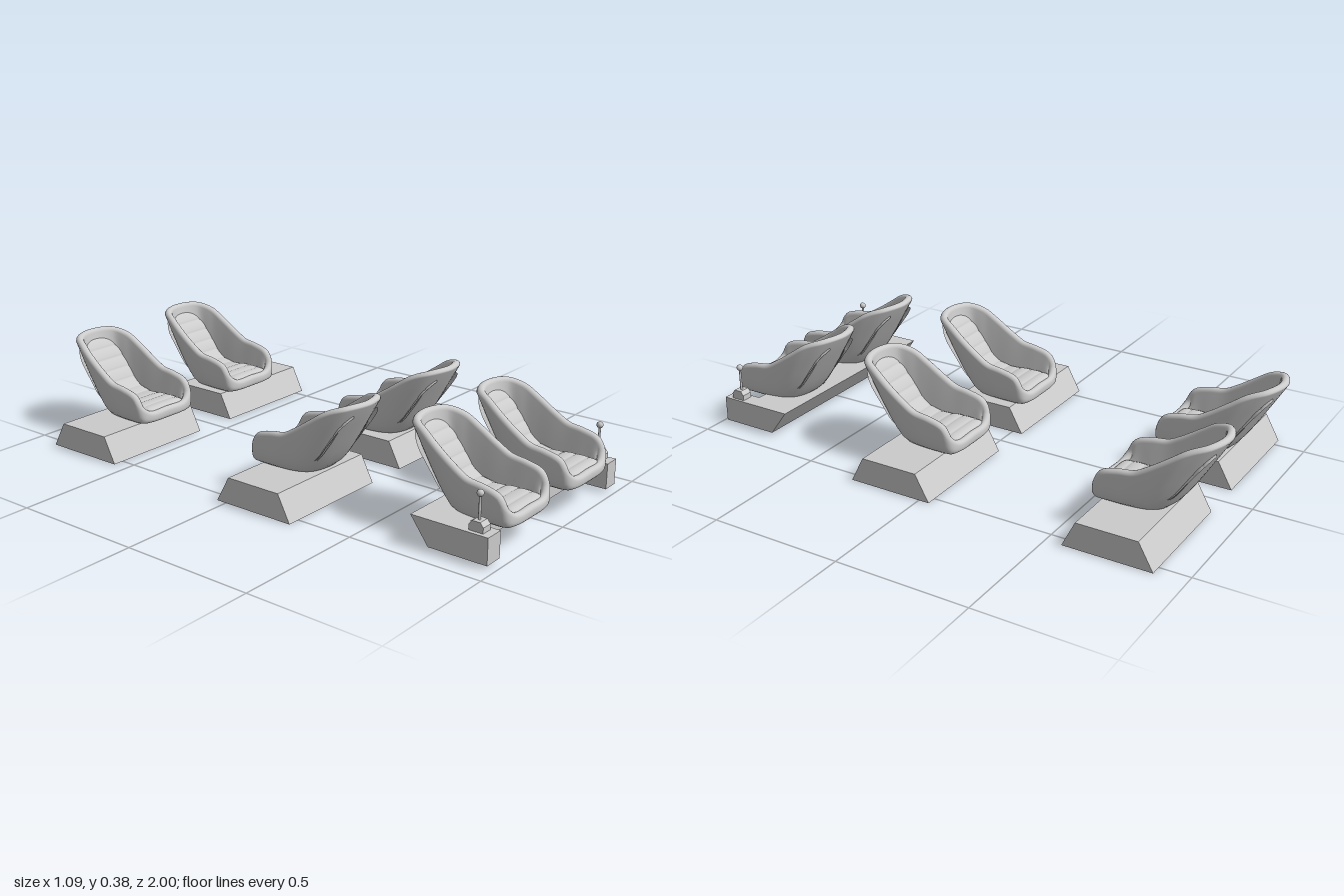
import * as THREE from 'three';

const grey = new THREE.MeshStandardMaterial({ color: 0xcccccc });
const greyDouble = new THREE.MeshStandardMaterial({ color: 0xcccccc, side: THREE.DoubleSide });
const V = (x, y, z) => new THREE.Vector3(x, y, z);

function part(name, geometry, material = grey) {
  const mesh = new THREE.Mesh(geometry, material);
  mesh.name = name;
  return mesh;
}

// Side profile given as [z, y] pairs, extruded across x from x0 to x1
function prism(name, profile, x0, x1) {
  const shape = new THREE.Shape(profile.map(([z, y]) => new THREE.Vector2(z, y)));
  const geo = new THREE.ExtrudeGeometry(shape, { depth: x1 - x0, bevelEnabled: false });
  geo.rotateY(-Math.PI / 2).translate(x1, 0, 0);
  return part(name, geo);
}

// Smooth surface through rows of points
function skin(rows, closed) {
  const n = rows[0].length, index = [];
  for (let j = 0; j < rows.length - 1; j++) {
    for (let i = 0; i < (closed ? n : n - 1); i++) {
      const k = (i + 1) % n;
      const a = j * n + i, b = j * n + k, c = (j + 1) * n + k, d = (j + 1) * n + i;
      index.push(a, b, c, a, c, d);
    }
  }
  const geo = new THREE.BufferGeometry().setFromPoints(rows.flat());
  geo.setIndex(index);
  geo.computeVertexNormals();
  return geo;
}

// Closed loop from a half outline running front centre -> left side -> back centre
function loop(half) {
  const left = half.map(p => V(...p));
  const right = half.slice(1, -1).reverse().map(([x, y, z]) => V(-x, y, z));
  return new THREE.CatmullRomCurve3([...left, ...right], true);
}

// Centre line of the rolled rim
const rimHalf = [
  [0, 0.03, 0.205], [0.09, 0.03, 0.2], [0.123, 0.055, 0.188], [0.13, 0.098, 0.165],
  [0.131, 0.116, 0.11], [0.131, 0.126, 0.05], [0.129, 0.153, 0], [0.124, 0.2, -0.07],
  [0.113, 0.237, -0.125], [0.083, 0.256, -0.178], [0, 0.26, -0.204],
];
// Lower edge of the inner wall, tucked under the cushion
const wellHalf = [
  [0, 0.026, 0.19], [0.07, 0.026, 0.188], [0.095, 0.028, 0.18], [0.103, 0.03, 0.15],
  [0.103, 0.033, 0.1], [0.102, 0.03, 0.05], [0.1, 0.03, 0], [0.098, 0.05, -0.06],
  [0.092, 0.12, -0.115], [0.072, 0.2, -0.162], [0, 0.225, -0.182],
];
// Foot of the shell, shorter and narrower than the rim
const footHalf = rimHalf.map(([x, , z]) => [x * 0.92, 0, 0.2 - (0.205 - z) * 0.6]);

function shellGeometry() {
  const rim = loop(rimHalf), well = loop(wellHalf), foot = loop(footHalf);
  const N = 100, r = 0.015, sections = [];
  for (let i = 0; i < N; i++) {
    const t = i / N, p = rim.getPoint(t), f = foot.getPoint(t), w = well.getPoint(t);
    const tan = rim.getTangent(t);
    const out = V(-tan.z, 0, tan.x).normalize();
    const up = out.clone().cross(tan).normalize();
    const roll = a => p.clone().addScaledVector(out, r * Math.cos(a)).addScaledVector(up, r * Math.sin(a));
    const s = [V(0, 0, 0.08), f.clone().lerp(V(0, 0, 0.08), 0.04), f];
    // bulging outer wall
    for (const q of [0.06, 0.16, 0.3, 0.5, 0.75]) {
      s.push(f.clone().lerp(roll(0), q).addScaledVector(out, 0.012 * Math.sin(Math.PI * Math.sqrt(q))));
    }
    // rolled rim, then the inner wall
    for (let k = 0; k <= 8; k++) s.push(roll((k / 8) * Math.PI));
    const inner = roll(Math.PI);
    for (const q of [0.35, 0.7, 1]) s.push(inner.clone().lerp(w, q));
    sections.push(s);
  }
  return skin(sections[0].map((_, j) => sections.map(s => s[j])), true);
}

// Pleated seat and back panel following one bent profile
function cushionGeometry() {
  const path = new THREE.CatmullRomCurve3([
    V(0, 0.034, 0.203), V(0, 0.046, 0.185), V(0, 0.05, 0.1), V(0, 0.045, 0.02),
    V(0, 0.065, -0.05), V(0, 0.125, -0.1), V(0, 0.19, -0.148), V(0, 0.238, -0.186),
  ]);
  const rows = [], M = 110, W = 20, pleats = 10;
  for (let j = 0; j <= M; j++) {
    const s = j / M, p = path.getPointAt(s), tan = path.getTangentAt(s);
    const normal = V(0, -tan.z, tan.y);
    const end = Math.max(0, (s - 0.82) / 0.18);
    const half = 0.105 * Math.sqrt(1 - 0.6 * end * end);
    const puff = 0.004 * Math.sqrt(Math.abs(Math.sin(s * pleats * Math.PI)));
    const row = [];
    for (let i = 0; i <= W; i++) {
      const u = (i / W) * 2 - 1, edge = Math.pow(Math.abs(u), 8);
      const q = p.clone().addScaledVector(normal, puff * (1 - edge) - 0.014 * edge);
      q.x = u * half;
      row.push(q);
    }
    rows.push(row);
  }
  return skin(rows, false);
}

export function createModel() {
  const model = new THREE.Group();
  model.name = 'seatingSet';
  const shell = shellGeometry(), cushion = cushionGeometry();

  function addSeat(name, x, z, turned) {
    const seat = new THREE.Group();
    seat.name = name;
    seat.add(part('seatShell', shell, greyDouble), part('seatCushion', cushion, greyDouble));
    seat.position.set(x, 0.1, z);
    if (turned) seat.rotation.y = Math.PI;
    model.add(seat);
  }
  addSeat('frontSeatRight', -0.196, 0.78);
  addSeat('frontSeatLeft', 0.186, 0.78);
  addSeat('middleSeatRight', -0.25, 0.178, true);
  addSeat('middleSeatLeft', 0.238, 0.178, true);
  addSeat('rearSeatRight', -0.243, -0.78);
  addSeat('rearSeatLeft', 0.24, -0.78);

  // Sloped plinths under the middle and rear seats
  const middle = [[-0.04, 0], [0.285, 0], [0.235, 0.097], [0.014, 0.097]];
  const rear = [[-0.887, 0], [-0.56, 0], [-0.608, 0.097], [-0.832, 0.097]];
  model.add(
    prism('middlePlinthRight', middle, -0.546, -0.087),
    prism('middlePlinthLeft', middle, 0.077, 0.537),
    prism('rearPlinthRight', rear, -0.541, -0.087),
    prism('rearPlinthLeft', rear, 0.087, 0.541),
  );

  // Front platform with a forward arm at each end
  model.add(prism('frontPlatform', [[0.754, 0.012], [0.862, 0.012], [0.862, 0.107], [0.684, 0.107]], -0.424, 0.414));
  const arm = [[0.862, 0.012], [0.974, 0.012], [0.974, 0.107], [0.862, 0.107]];
  model.add(prism('platformArmRight', arm, -0.424, -0.351), prism('platformArmLeft', arm, 0.351, 0.414));

  // Control levers on the arms
  const box = [[0.893, 0.107], [0.946, 0.107], [0.946, 0.127], [0.934, 0.142], [0.905, 0.142], [0.893, 0.127]];
  for (const [side, x] of [['Right', -0.388], ['Left', 0.383]]) {
    const lever = new THREE.Group();
    lever.name = 'controlLever' + side;
    const stick = part('leverStick', new THREE.CylinderGeometry(0.004, 0.005, 0.09, 12));
    stick.position.set(x, 0.183, 0.918);
    const knob = part('leverKnob', new THREE.SphereGeometry(0.012, 20, 14));
    knob.position.set(x, 0.23, 0.918);
    lever.add(prism('leverBox', box, x - 0.021, x + 0.021), stick, knob);
    model.add(lever);
  }
  return model;
}
